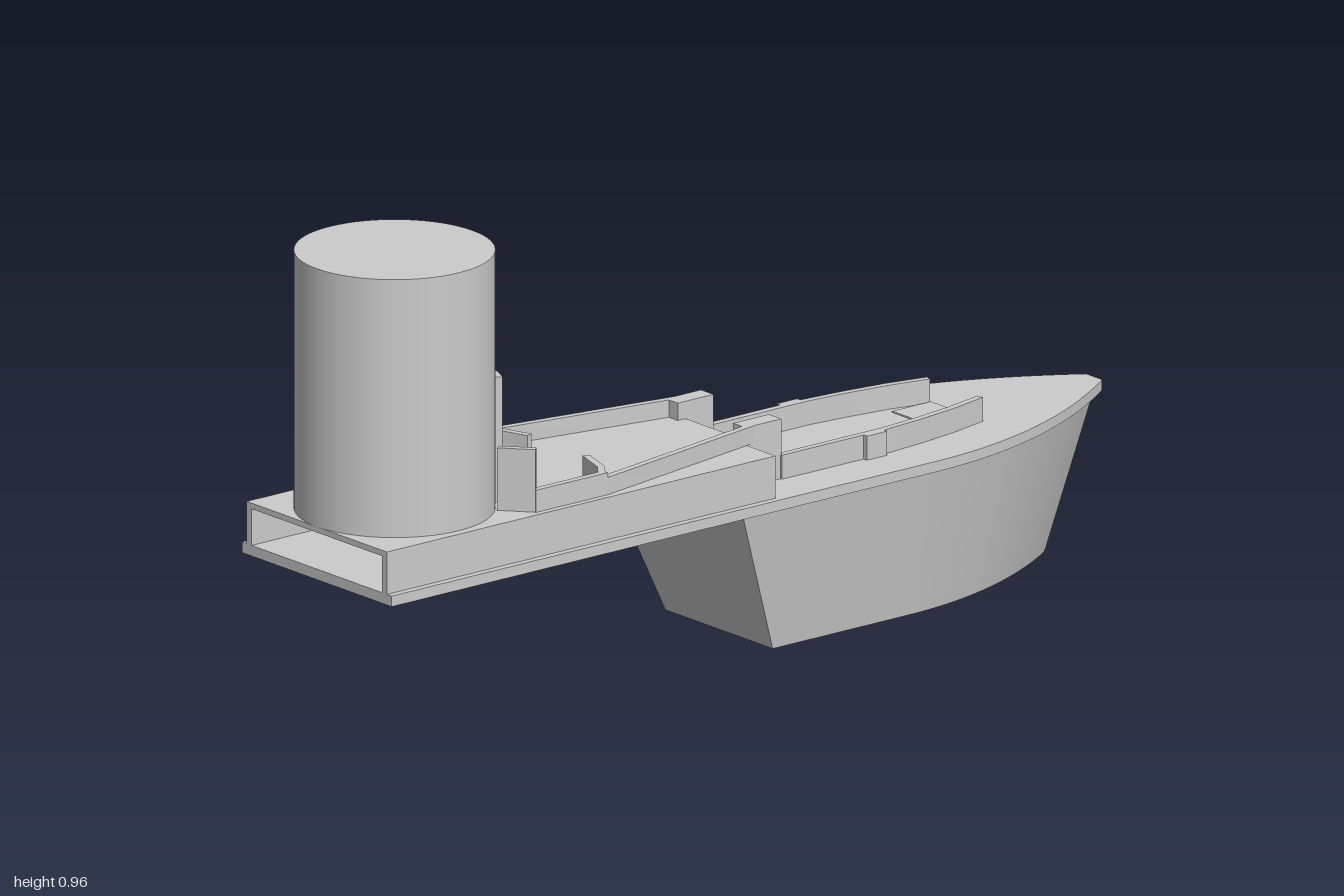
import * as THREE from 'three';
import { toCreasedNormals } from 'three/addons/utils/BufferGeometryUtils.js';

const grey = new THREE.MeshStandardMaterial({ color: 0xcccccc });

export function createModel() {
  const model = new THREE.Group();

  const add = (name, geometry) => {
    const mesh = new THREE.Mesh(geometry, grey);
    mesh.name = name;
    model.add(mesh);
    return mesh;
  };
  const box = (name, x0, x1, y0, y1, z0, z1) =>
    add(name, new THREE.BoxGeometry(x1 - x0, y1 - y0, z1 - z0))
      .position.set((x0 + x1) / 2, (y0 + y1) / 2, (z0 + z1) / 2);

  // Upright prism over a plan outline of [x, z] points
  const prism = (name, points, y0, y1) => {
    const shape = new THREE.Shape(points.map(([x, z]) => new THREE.Vector2(x, z)));
    const geometry = new THREE.ExtrudeGeometry(shape, { depth: y1 - y0, bevelEnabled: false });
    geometry.rotateX(Math.PI / 2).translate(0, y1, 0);
    add(name, toCreasedNormals(geometry, 0.4));
  };

  // Wall of constant thickness along a plan path
  const wall = (name, path, thickness, y0, y1) => {
    const side = (s) => path.map(([x, z], i) => {
      const a = path[Math.max(i - 1, 0)], b = path[Math.min(i + 1, path.length - 1)];
      const dx = b[0] - a[0], dz = b[1] - a[1], k = s * thickness / 2 / Math.hypot(dx, dz);
      return [x - dz * k, z + dx * k];
    });
    prism(name, [...side(1), ...side(-1).reverse()], y0, y1);
  };

  // Boat outline: square stern, straight sides, curved taper to a narrow bow
  const outline = (stern, bend, bow, width, tip, n = 20) => {
    const half = [[stern, width]];
    for (let i = 0; i <= n; i++) {
      const t = i / n;
      half.push([bend + (bow - bend) * t, width - (width - tip) * t * t]);
    }
    return [...half, ...half.map(([x, z]) => [x, -z]).reverse()];
  };

  // Hollow hull: outer skin, bottom rim and inner skin
  const rings = [
    [0.31, outline(-0.085, 0.38, 0.98, 0.22, 0.022)],
    [0, outline(0.035, 0.38, 0.86, 0.167, 0.015)],
    [0, outline(0.11, 0.35, 0.74, 0.1, 0.03)],
    [0.31, outline(0.0, 0.36, 0.84, 0.15, 0.03)],
  ];
  const count = rings[0][1].length, positions = [], index = [];
  rings.forEach(([y, ring], r) => ring.forEach(([x, z], i) => {
    positions.push(x, y, z);
    if (r === rings.length - 1) return;
    const a = r * count + i, a1 = r * count + (i + 1) % count;
    index.push(a, a + count, a1 + count, a, a1 + count, a1);
  }));
  const hull = new THREE.BufferGeometry();
  hull.setAttribute('position', new THREE.Float32BufferAttribute(positions, 3));
  hull.setIndex(index);
  add('hull', toCreasedNormals(hull, 0.4));

  // Main deck and the open-ended raised deck behind it
  prism('mainDeck', outline(-1, 0.4, 1, 0.233, 0.025), 0.31, 0.332);
  box('raisedDeck', -1, 0, 0.408, 0.42, -0.218, 0.218);
  for (const s of [1, -1]) {
    const z = [0.203 * s, 0.218 * s].sort((a, b) => a - b);
    box('raisedDeckSide', -1, 0, 0.33, 0.41, z[0], z[1]);
  }
  box('stepWall', 0, 0.02, 0.33, 0.42, -0.09, 0.09);
  box('foreHatch', 0.54, 0.64, 0.33, 0.335, -0.072, 0.072);

  // Tower
  const tower = new THREE.CylinderGeometry(0.2, 0.2, 0.54, 64);
  add('tower', tower).position.set(-0.8, 0.686, 0);

  // Curved door frame hugging the tower
  const arc = (name, a0, a1, y0, y1) => {
    const side = (r) => Array.from({ length: 9 }, (_, i) => {
      const a = a0 + (a1 - a0) * i / 8;
      return [-0.8 + r * Math.cos(a), r * Math.sin(a)];
    });
    prism(name, [...side(0.217), ...side(0.196).reverse()], y0, y1);
  };
  arc('doorLintel', -0.52, 0.52, 0.615, 0.68);
  arc('doorJamb', 0.26, 0.52, 0.42, 0.615);
  arc('doorJamb', -0.52, -0.26, 0.42, 0.615);

  // Bulwarks, mirrored on both sides
  for (const s of [1, -1]) {
    const m = (path) => path.map(([x, z]) => [x, z * s]);
    wall('towerScreen', m([[-0.65, 0.14], [-0.6, 0.198]]), 0.014, 0.42, 0.55);
    wall('aftBulwark', m([[-0.605, 0.197], [-0.42, 0.197], [0.02, 0.118]]), 0.015, 0.42, 0.456);
    wall('aftBulwarkRaised', m([[-0.605, 0.197], [-0.42, 0.197]]), 0.015, 0.42, 0.466);
    wall('breakwater', m([[-0.43, 0.197], [-0.405, 0.165], [-0.38, 0.088]]), 0.015, 0.42, 0.466);
    prism('stepPost', m([[0, 0.086], [0.092, 0.086], [0.092, 0.125], [0, 0.125]]), 0.33, 0.456);
    wall('foreBulwark', m([[0.09, 0.122], [0.36, 0.122], [0.45, 0.114], [0.55, 0.1], [0.64, 0.08]]),
      0.015, 0.33, 0.382);
    prism('foreBlock', m([[0.3, 0.12], [0.352, 0.12], [0.352, 0.14], [0.3, 0.14]]), 0.33, 0.382);
  }
  return model;
}
